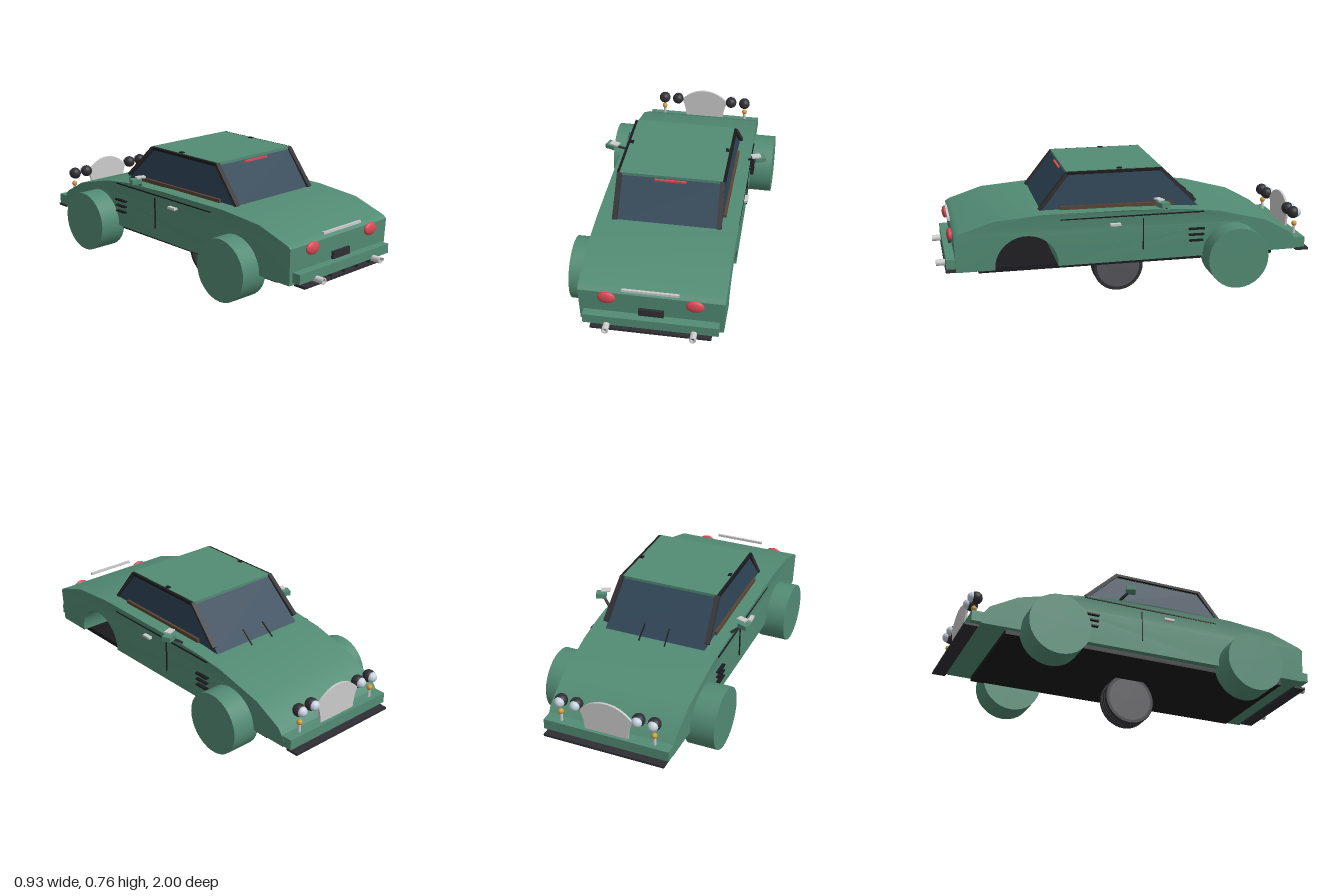
import * as THREE from 'three';
import { toCreasedNormals } from 'three/addons/utils/BufferGeometryUtils.js';

const mat = (color) => new THREE.MeshStandardMaterial({ color, side: THREE.DoubleSide });
const GREEN = mat(0x528b74), BLACK = mat(0x1b1b1d), DARK = mat(0x2f2f33), GLASS = mat(0x2e4456);
const RED = mat(0xd84a55), GREY = mat(0xcccccc), BROWN = mat(0x5a4433), HUB = mat(0x55555a);
const LENS = mat(0xc5d3dd), AMBER = mat(0xd09a3a);
const ARCH_R = 0.163, ARCH_Y = 0.285, FRONT_Z = -0.555, REAR_Z = 0.545;

export function createModel() {
  const car = new THREE.Group();
  const add = (name, geo, m, x = 0, y = 0, z = 0) => {
    const mesh = new THREE.Mesh(geo, m);
    mesh.name = name;
    mesh.position.set(x, y, z);
    car.add(mesh);
    return mesh;
  };
  const box = (name, m, w, h, d, x, y, z) => add(name, new THREE.BoxGeometry(w, h, d), m, x, y, z);
  // Straight bar between two points
  const bar = (name, m, a, b, w, h) => {
    const from = new THREE.Vector3(...a), to = new THREE.Vector3(...b);
    const mesh = box(name, m, w, h, from.distanceTo(to), 0, 0, 0);
    mesh.position.copy(from).lerp(to, 0.5);
    mesh.lookAt(to);
    return mesh;
  };
  const both = (fn) => [-1, 1].forEach(fn);

  // Body: side profile with wheel arches, extruded across the width
  const s = new THREE.Shape();
  const cut = Math.asin((ARCH_Y - 0.275) / ARCH_R), run = ARCH_R * Math.cos(cut);
  s.moveTo(-0.92, 0.275);
  for (const z of [FRONT_Z, REAR_Z]) {
    s.lineTo(z - run, 0.275);
    s.absarc(z, ARCH_Y, ARCH_R, Math.PI + cut, -cut, true);
  }
  s.lineTo(0.905, 0.275);
  s.lineTo(0.912, 0.46);
  s.quadraticCurveTo(0.9, 0.475, 0.87, 0.483);
  s.lineTo(0.71, 0.535);
  s.lineTo(0.46, 0.555);
  s.lineTo(0, 0.553);
  s.lineTo(-0.3, 0.54);
  s.lineTo(-0.48, 0.518);
  s.lineTo(-0.74, 0.45);
  s.lineTo(-0.885, 0.37);
  s.lineTo(-0.92, 0.32);
  let body = new THREE.ExtrudeGeometry(s, { depth: 2, bevelEnabled: false, curveSegments: 24 });
  body.translate(0, 0, -1);
  body.rotateY(-Math.PI / 2);
  const p = body.attributes.position;
  for (let i = 0; i < p.count; i++) {
    const z = p.getZ(i), y = p.getY(i);
    const half = 0.355 + (y - 0.275) * 0.03 - Math.max(0, -z) * 0.022;
    p.setX(i, p.getX(i) * half);
  }
  add('body', toCreasedNormals(body, 0.5), GREEN);

  // Floor, bumpers, splitter and diffuser
  box('floorPan', BLACK, 0.63, 0.024, 1.58, 0, 0.263, 0);
  box('rearBumper', GREEN, 0.67, 0.05, 0.05, 0, 0.315, 0.928);
  box('frontBumper', GREEN, 0.67, 0.055, 0.07, 0, 0.308, -0.935);
  box('frontSplitter', DARK, 0.645, 0.012, 0.07, 0, 0.264, -0.965);
  box('rearDiffuser', DARK, 0.6, 0.012, 0.07, 0, 0.264, 0.92);
  for (let i = -2; i <= 2; i++) box('diffuserFin', DARK, 0.006, 0.03, 0.06, i * 0.098, 0.275, 0.92);

  // Wheels: two at the front, one at the rear right
  for (const [side, z] of [[-1, FRONT_Z], [1, FRONT_Z], [-1, REAR_Z]]) {
    const g = new THREE.CylinderGeometry(ARCH_R, ARCH_R, 0.155, 32);
    g.rotateZ(Math.PI / 2);
    add('wheel', g, GREEN, side * 0.3875, ARCH_Y, z);
  }

  // Central wheel below the floor, with grooved tread
  const tread = [[0.12, -0.045], [0.136, -0.045], [0.14, -0.04]];
  for (const g of [-0.022, 0, 0.022]) {
    tread.push([0.14, g - 0.003], [0.135, g - 0.002], [0.135, g + 0.002], [0.14, g + 0.003]);
  }
  tread.push([0.14, 0.04], [0.136, 0.045], [0.12, 0.045]);
  const tyre = new THREE.LatheGeometry(tread.map((q) => new THREE.Vector2(...q)), 40);
  tyre.rotateZ(Math.PI / 2);
  add('centreTyre', toCreasedNormals(tyre, 0.5), DARK, 0, 0.14, 0);
  const hub = new THREE.CylinderGeometry(0.123, 0.123, 0.088, 40);
  hub.rotateZ(Math.PI / 2);
  add('centreHub', hub, HUB, 0, 0.14, 0);

  // Cabin glass: a box tapered toward the roof
  const cabin = new THREE.BoxGeometry(1, 1, 1);
  const c = cabin.attributes.position;
  for (let i = 0; i < c.count; i++) {
    const top = c.getY(i) > 0, back = c.getZ(i) > 0;
    c.setXYZ(i, Math.sign(c.getX(i)) * (top ? 0.26 : 0.278), top ? 0.74 : 0.535,
      back ? (top ? 0.32 : 0.475) : (top ? -0.18 : -0.38));
  }
  cabin.computeVertexNormals();
  add('cabinGlass', cabin, GLASS);
  box('roof', GREEN, 0.53, 0.018, 0.505, 0, 0.743, 0.07);
  box('highBrakeLight', RED, 0.165, 0.01, 0.015, 0, 0.729, 0.328);

  both((d) => {
    // Pillars and window trim
    bar('rearPillar', DARK, [d * 0.265, 0.745, 0.315], [d * 0.268, 0.555, 0.465], 0.026, 0.018);
    bar('windscreenPillar', DARK, [d * 0.268, 0.745, -0.175], [d * 0.285, 0.565, -0.36], 0.025, 0.018);
    bar('roofRail', BLACK, [d * 0.272, 0.742, -0.18], [d * 0.272, 0.742, 0.32], 0.016, 0.014);
    bar('sillTrim', BROWN, [d * 0.285, 0.558, -0.24], [d * 0.285, 0.562, 0.36], 0.014, 0.02);
    box('roofKnob', BLACK, 0.018, 0.014, 0.025, d * 0.255, 0.75, 0.04);

    // Door seams, handle and side vents
    box('beltSeam', BLACK, 0.006, 0.006, 0.76, d * 0.359, 0.522, -0.01);
    box('doorSeam', BLACK, 0.006, 0.17, 0.005, d * 0.358, 0.42, -0.065);
    box('doorHandle', GREY, 0.022, 0.012, 0.055, d * 0.367, 0.482, 0.085);
    for (let i = 0; i < 3; i++) {
      box('sideVent', BLACK, 0.022, 0.008, 0.085 - 0.005 * i, d * 0.358, 0.43 - i * 0.032, -0.352);
    }

    // Door mirror
    const turn = d * 0.35;
    box('mirrorShell', GREEN, 0.055, 0.026, 0.05, d * 0.412, 0.588, -0.155).rotation.y = turn;
    box('mirrorPlate', GREY, 0.05, 0.008, 0.035, d * 0.393, 0.611, -0.138).rotation.y = turn;
    bar('mirrorArm', DARK, [d * 0.35, 0.55, -0.19], [d * 0.395, 0.582, -0.16], 0.012, 0.01);

    // Wiper
    bar('wiper', BLACK, [d * 0.072, 0.53, -0.415], [d * 0.068, 0.59, -0.34], 0.006, 0.006);

    // Headlamps and amber marker
    for (const x of [0.165, 0.248]) {
      add('headlampShell', new THREE.SphereGeometry(0.033, 24, 16), DARK, d * x, 0.453, -0.932);
      add('headlampLens', new THREE.SphereGeometry(0.027, 24, 16), LENS, d * x, 0.453, -0.95);
    }
    add('markerLamp', new THREE.SphereGeometry(0.015, 16, 12), AMBER, d * 0.25, 0.39, -0.94);
    add('markerStem', new THREE.CylinderGeometry(0.008, 0.008, 0.05, 12), GREY, d * 0.25, 0.357, -0.94);

    // Tail lamp and exhaust
    add('tailLamp', new THREE.SphereGeometry(1, 28, 18), RED, d * 0.216, 0.44, 0.924)
      .scale.set(0.045, 0.033, 0.016);
    const pipe = new THREE.LatheGeometry([[0.011, -0.045], [0.016, -0.045], [0.017, 0.04], [0.011, 0.04],
      [0.011, -0.045]].map((q) => new THREE.Vector2(...q)), 20);
    pipe.rotateX(Math.PI / 2);
    add('exhaust', toCreasedNormals(pipe, 0.5), GREY, d * 0.215, 0.291, 0.96);
    const bore = new THREE.CircleGeometry(0.012, 20);
    add('exhaustBore', bore, BLACK, d * 0.215, 0.291, 0.985);
  });

  // Rear trim strip and plate
  box('rearStrip', GREY, 0.28, 0.013, 0.012, 0, 0.494, 0.92);
  box('rearPlate', DARK, 0.125, 0.038, 0.014, 0, 0.364, 0.918);

  // Arched grille
  const g = new THREE.Shape();
  g.moveTo(-0.115, 0.335);
  g.lineTo(0.115, 0.335);
  g.quadraticCurveTo(0.12, 0.4, 0.14, 0.44);
  g.quadraticCurveTo(0.08, 0.51, 0, 0.51);
  g.quadraticCurveTo(-0.08, 0.51, -0.14, 0.44);
  g.quadraticCurveTo(-0.12, 0.4, -0.115, 0.335);
  add('grille', new THREE.ExtrudeGeometry(g, { depth: 0.012, bevelEnabled: false }), GREY, 0, 0, -0.953);

  return car;
}
